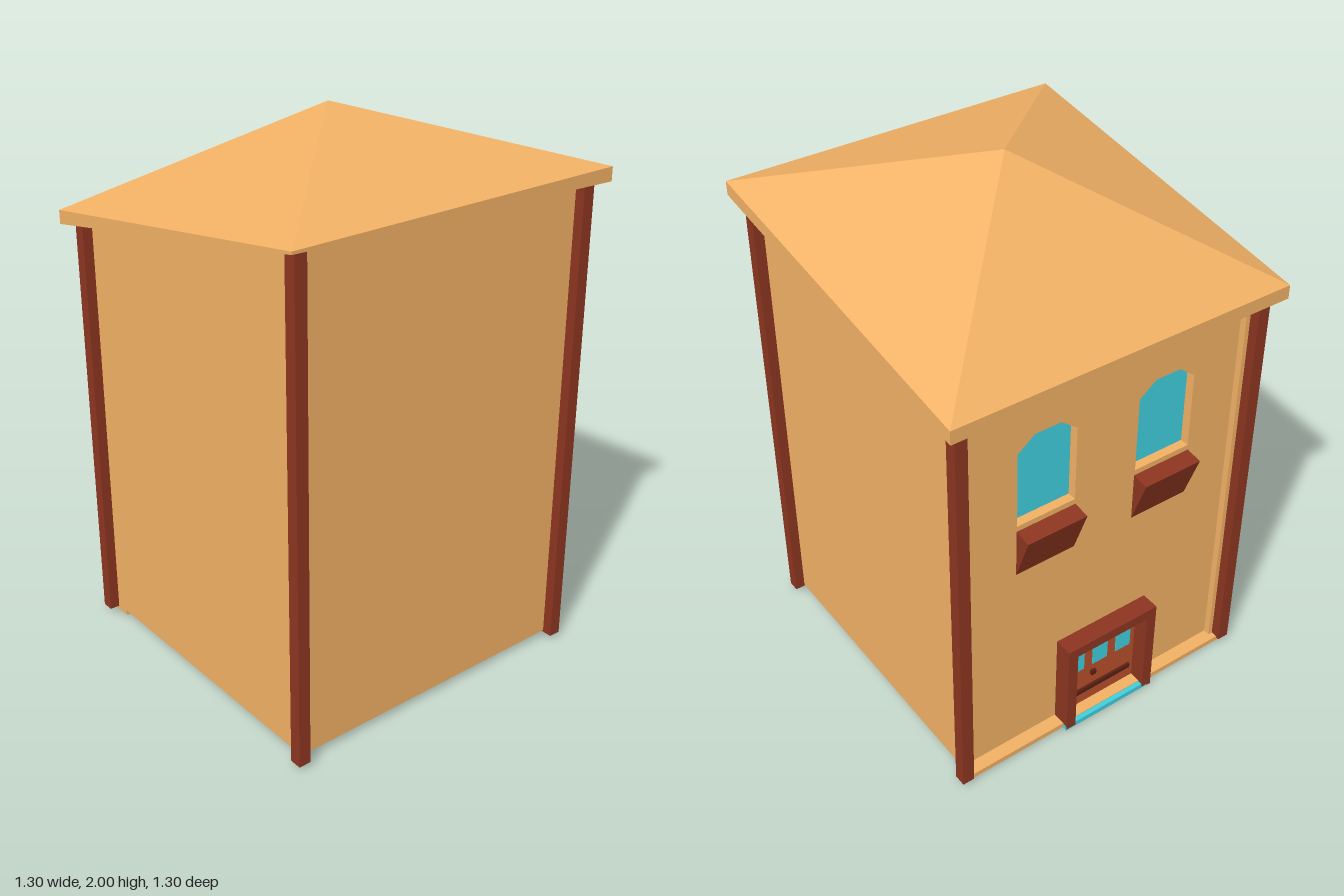
import * as THREE from 'three';

const mat = (color) => new THREE.MeshStandardMaterial({ color, flatShading: true });
const TAN = mat(0xf0b064), RED = mat(0x8c3520), DOOR = mat(0xb84e2a), DARK = mat(0x5a2012), GLASS = mat(0x40cfdd);

const E = 0.65; // eave half width
// underside height of the crooked roof, blended between its four corners
const under = (x, z) => {
  const u = (x / E + 1) / 2, v = (z / E + 1) / 2;
  return 1.55 * (1 - u) + u * (1.76 * (1 - v) + 1.8 * v);
};

export function createModel() {
  const house = new THREE.Group();
  house.name = 'house';

  const add = (name, geo, material) => {
    const m = new THREE.Mesh(geo, material);
    m.name = name;
    house.add(m);
    return m;
  };
  // box given by its limits; without y1 its top follows the roof
  const block = (name, material, x0, x1, y0, y1, z0, z1) => {
    const g = new THREE.BoxGeometry(1, 1, 1), p = g.attributes.position;
    for (let i = 0; i < p.count; i++) {
      const x = p.getX(i) < 0 ? x0 : x1, z = p.getZ(i) < 0 ? z0 : z1;
      p.setXYZ(i, x, p.getY(i) < 0 ? y0 : y1 ?? under(x, z), z);
    }
    g.computeVertexNormals();
    return add(name, g, material);
  };

  // roof: pyramid, tapering fascia and underside
  const corners = [[E, E, 1.81], [E, -E, 1.81], [-E, -E, 1.6], [-E, E, 1.6]];
  const top = corners.map(([x, z, y]) => [x, y, z]);
  const low = corners.map(([x, z]) => [x, under(x, z), z]);
  const tri = [];
  for (let i = 0; i < 4; i++) {
    const j = (i + 1) % 4;
    tri.push(top[i], top[j], [0, 2, 0], low[i], low[j], top[j], low[i], top[j], top[i]);
  }
  tri.push(low[0], low[2], low[1], low[0], low[3], low[2]);
  const roof = new THREE.BufferGeometry();
  roof.setAttribute('position', new THREE.Float32BufferAttribute(tri.flat(), 3));
  roof.computeVertexNormals();
  add('roof', roof, TAN);

  // walls, with short returns beside the recessed facade
  block('walls', TAN, -0.51, 0.575, 0.025, undefined, -0.575, 0.575);
  block('frontReturn', TAN, -0.575, -0.51, 0.025, undefined, 0.55, 0.575);
  block('backReturn', TAN, -0.575, -0.51, 0.025, undefined, -0.575, -0.55);
  block('plinthStrip', TAN, -0.6, -0.51, 0.005, 0.025, -0.575, 0.575);

  // corner posts
  for (const sx of [-1, 1]) for (const sz of [-1, 1]) {
    const span = (s) => (s < 0 ? [-0.612, -0.567] : [0.567, 0.612]);
    block('cornerPost', RED, ...span(sx), 0.018, undefined, ...span(sz));
  }

  // facade with two arched window openings
  const facade = new THREE.Shape();
  facade.moveTo(-0.565, 0.025).lineTo(0.565, 0.025).lineTo(0.565, 1.575).lineTo(-0.565, 1.575).closePath();
  const windowShape = (z) => {
    const s = new THREE.Path();
    s.moveTo(z - 0.115, 1.02).lineTo(z - 0.115, 1.31).lineTo(z - 0.05, 1.36);
    s.lineTo(z + 0.05, 1.36).lineTo(z + 0.115, 1.31).lineTo(z + 0.115, 1.02).closePath();
    return s;
  };
  const centres = [-0.23, 0.25];
  facade.holes = centres.map(windowShape);
  const wall = add('facade', new THREE.ExtrudeGeometry(facade, { depth: 0.04, bevelEnabled: false }), TAN);
  wall.rotation.y = -Math.PI / 2;
  wall.position.x = -0.51;

  for (const z of centres) {
    block('windowGlass', GLASS, -0.516, -0.508, 1.0, 1.38, z - 0.13, z + 0.13);
    // wedge-shaped planter under the window
    const side = new THREE.Shape();
    side.moveTo(0.545, 0.8).lineTo(0.613, 0.99).lineTo(0.545, 1.0).closePath();
    const planter = add('windowBox', new THREE.ExtrudeGeometry(side, { depth: 0.235, bevelEnabled: false }), RED);
    planter.rotation.y = Math.PI;
    planter.position.z = z + 0.1175;
  }

  // doorway: threshold, frame, leaf with panes and a bar
  block('threshold', GLASS, -0.618, -0.462, 0.002, 0.022, -0.17, 0.215);
  block('thresholdEnd', RED, -0.62, -0.46, 0.003, 0.024, 0.205, 0.22);
  block('thresholdBack', DOOR, -0.465, -0.46, 0.003, 0.024, 0.02, 0.215);
  block('doorJamb', RED, -0.62, -0.54, 0.01, 0.4, -0.17, -0.13);
  block('doorJamb', RED, -0.62, -0.54, 0.01, 0.4, 0.18, 0.22);
  block('doorLintel', RED, -0.62, -0.54, 0.36, 0.4, -0.13, 0.18);
  block('doorLeaf', DOOR, -0.557, -0.54, 0.022, 0.36, -0.13, 0.18);
  for (const z of [-0.085, 0.02, 0.125]) block('doorPane', GLASS, -0.561, -0.55, 0.2, 0.29, z - 0.033, z + 0.033);
  block('doorBar', DARK, -0.566, -0.55, 0.08, 0.1, -0.11, 0.16);
  block('doorHandle', DARK, -0.568, -0.55, 0.15, 0.17, -0.02, 0);

  return house;
}
